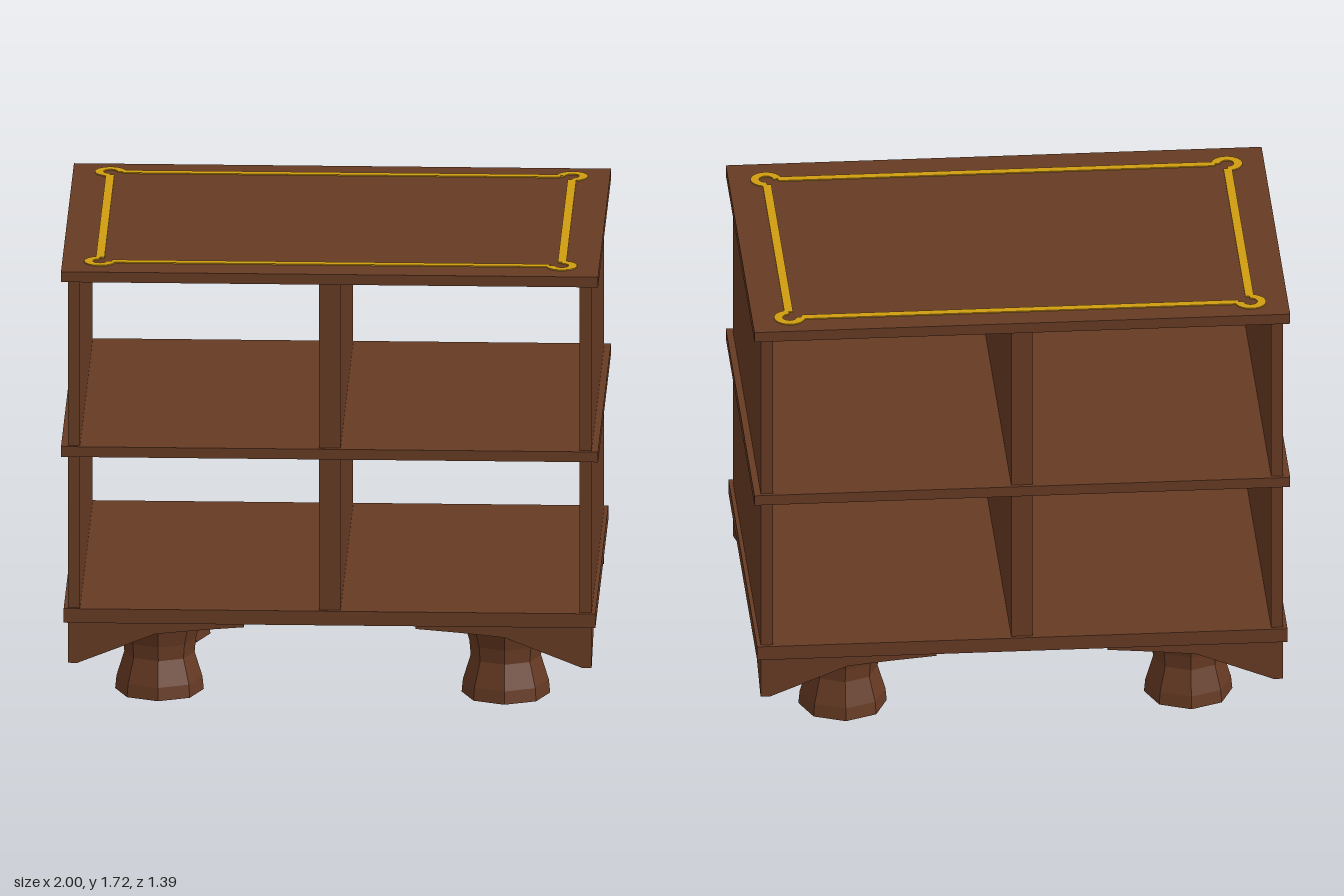
import * as THREE from 'three';

export function createModel() {
  const group = new THREE.Group();
  group.name = 'openBookcase';

  const wood = new THREE.MeshStandardMaterial({ color: 0x663a23 });
  wood.name = 'brown wood';
  wood.flatShading = true;
  const gold = new THREE.MeshStandardMaterial({ color: 0xcf9c10 });
  gold.name = 'gold inlay';

  const add = (name, geometry, material, x = 0, y = 0, z = 0) => {
    const mesh = new THREE.Mesh(geometry, material);
    mesh.name = name;
    mesh.position.set(x, y, z);
    group.add(mesh);
    return mesh;
  };
  // Box given by its width, vertical range and depth
  const board = (name, w, y0, y1, d, x = 0) =>
    add(name, new THREE.BoxGeometry(w, y1 - y0, d), wood, x, (y0 + y1) / 2, 0);

  // Horizontal boards
  board('topBoard', 2, 1.68, 1.72, 1.39);
  board('middleShelf', 2, 1.0, 1.04, 1.39);
  board('bottomBoard', 1.98, 0.355, 0.41, 1.39);

  // Upright panels on each storey, open at front and back
  for (const [y0, y1] of [[0.41, 1.0], [1.04, 1.68]]) {
    board('centreDivider', 0.08, y0, y1, 1.36);
    for (const s of [-1, 1]) board('sidePanel', 0.045, y0, y1, 1.36, s * 0.9525);
  }

  // Shaped apron below the bottom board
  const apron = (points) => new THREE.ExtrudeGeometry(
    new THREE.Shape(points.map(([x, y]) => new THREE.Vector2(x, y))),
    { depth: 0.03, bevelEnabled: false });
  const half = [[0.68, 0.195], [0.65, 0.195], [0.35, 0.31], [0.18, 0.325]];
  const sideApron = apron([
    [-0.68, 0.355], ...half.map(([x, y]) => [-x, y]), [0, 0.338],
    ...half.slice().reverse(), [0.68, 0.355]]);
  for (const s of [-1, 1]) {
    add('sideApron', sideApron, wood, s * 0.96 - 0.015).rotation.y = Math.PI / 2;
    const frontApron = apron([
      [s * 0.975, 0.355], [s * 0.975, 0.195], [s * 0.94, 0.195],
      [s * 0.65, 0.31], [s * 0.48, 0.327], [s * 0.32, 0.34], [s * 0.32, 0.355]]);
    add('frontApron', frontApron, wood, 0, 0, 0.65);
    add('backApron', frontApron, wood, 0, 0, -0.68);
  }

  // Eight-sided waisted feet
  const footProfile = [
    [0, 0], [0.165, 0], [0.16, 0.05], [0.131, 0.145],
    [0.136, 0.2], [0.158, 0.28], [0.17, 0.34], [0, 0.355],
  ].map(([r, y]) => new THREE.Vector2(r, y));
  const footGeometry = new THREE.LatheGeometry(footProfile, 8);
  for (const x of [-0.645, 0.645])
    for (const z of [-0.355, 0.355]) add('foot', footGeometry, wood, x, 0, z);

  // Gold border on the top, set slightly towards the front at the back edge
  const t = 0.004, y = 1.72;
  const zBack = -0.585, zFront = 0.562, xSide = 0.86;
  for (const z of [zBack, zFront])
    add('inlayLongStrip', new THREE.BoxGeometry(1.63, t, 0.032), gold, 0, y + t / 2, z);
  for (const s of [-1, 1])
    add('inlayShortStrip', new THREE.BoxGeometry(0.032, t, zFront - zBack - 0.09),
      gold, s * xSide, y + t / 2, (zFront + zBack) / 2);

  // Three-quarter rings at the corners, open towards the middle
  const ring = new THREE.Shape();
  ring.absarc(0, 0, 0.058, 0, Math.PI * 1.5, false);
  ring.absarc(0, 0, 0.026, Math.PI * 1.5, 0, true);
  ring.closePath();
  const ringGeometry = new THREE.ExtrudeGeometry(ring, { depth: t, bevelEnabled: false, curveSegments: 16 });
  ringGeometry.rotateX(-Math.PI / 2);
  const corners = [
    [-xSide, zBack, 0], [-xSide, zFront, Math.PI / 2],
    [xSide, zFront, Math.PI], [xSide, zBack, -Math.PI / 2]];
  for (const [x, z, turn] of corners)
    add('inlayCornerRing', ringGeometry, gold, x, y, z).rotation.y = turn;

  return group;
}
